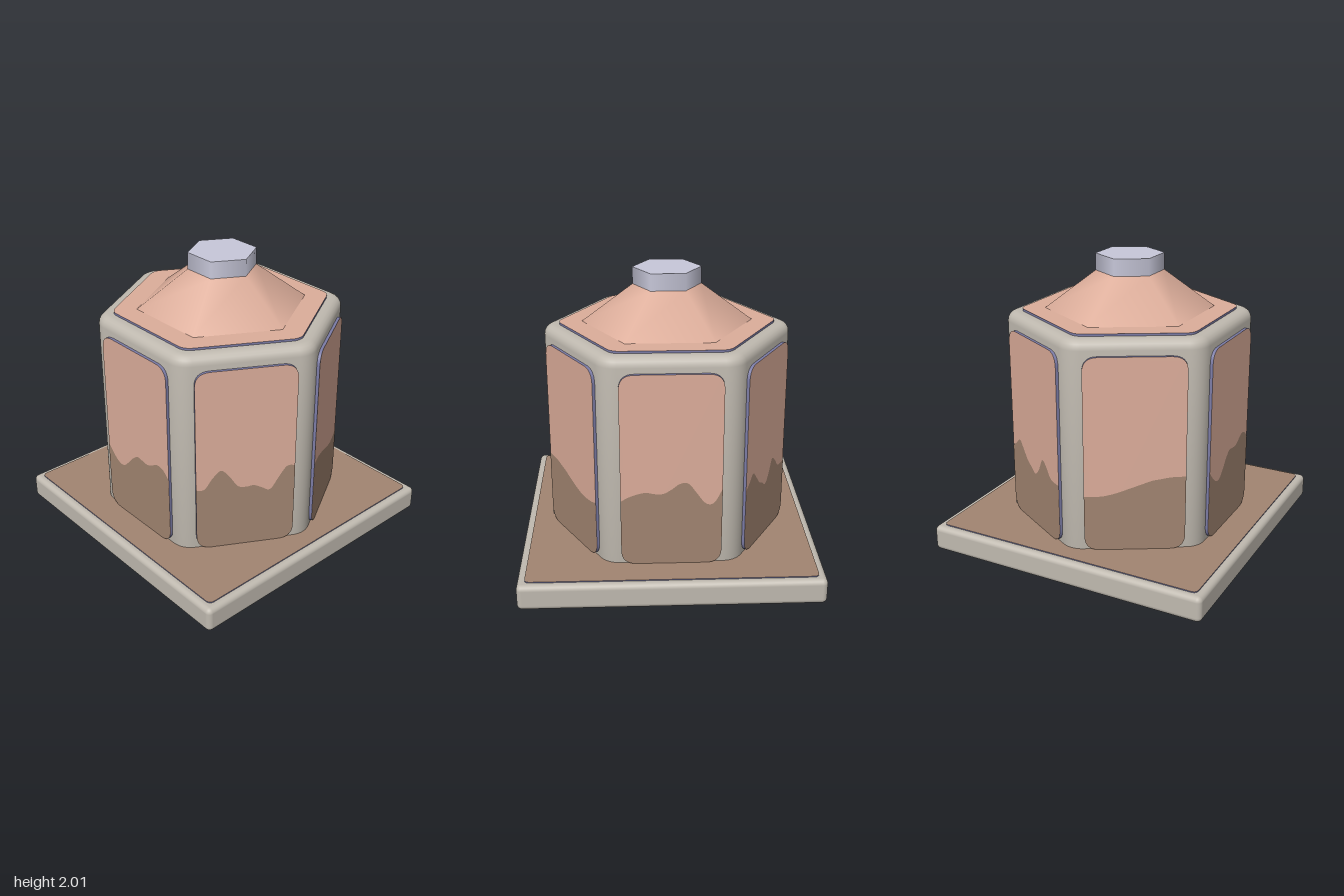
import * as THREE from 'three';
import { toCreasedNormals } from 'three/addons/utils/BufferGeometryUtils.js';
import { RoundedBoxGeometry } from 'three/addons/geometries/RoundedBoxGeometry.js';

// Liquid line of each panel, left to right, starting at the front panel
const WAVES = [
  [.69, .63, .59, .585, .63, .69, .73, .725, .72, .745, .77, .76, .71],
  [.67, .67, .75, .80, .75, .67, .655, .66, .635, .615, .70, .78, .78],
  [.71, .705, .70, .685, .67, .65, .63, .61, .595, .585, .585, .59, .605],
  [.66, .69, .71, .72, .71, .71, .74, .78, .78, .71, .64, .64, .74],
  [.67, .71, .75, .70, .64, .61, .58, .63, .72, .69, .63, .62, .62],
  [.585, .585, .585, .595, .61, .63, .65, .67, .69, .70, .71, .715, .715],
];

const colour = (name, hex) => {
  const m = new THREE.MeshStandardMaterial({ color: hex });
  m.name = name;
  return m;
};

// Polygon outline with rounded corners
function roundedShape(points, r) {
  const shape = new THREE.Shape();
  const n = points.length;
  points.forEach((p, i) => {
    const toPrev = points[(i + n - 1) % n].clone().sub(p).normalize();
    const toNext = points[(i + 1) % n].clone().sub(p).normalize();
    const t = r / Math.tan(Math.acos(toPrev.dot(toNext)) / 2);
    const a = p.clone().addScaledVector(toPrev, t);
    const b = p.clone().addScaledVector(toNext, t);
    if (i === 0) shape.moveTo(a.x, a.y);
    else shape.lineTo(a.x, a.y);
    shape.quadraticCurveTo(p.x, p.y, b.x, b.y);
  });
  shape.closePath();
  return shape;
}

const rect = (x0, y0, x1, y1) =>
  [[x0, y0], [x1, y0], [x1, y1], [x0, y1]].map(([x, y]) => new THREE.Vector2(x, y));

const hexagon = (apothem) => Array.from({ length: 6 }, (_, i) => {
  const a = i * Math.PI / 3, r = apothem / Math.cos(Math.PI / 6);
  return new THREE.Vector2(r * Math.cos(a), r * Math.sin(a));
});

const slab = (shape, depth) => toCreasedNormals(
  new THREE.ExtrudeGeometry(shape, { depth, bevelEnabled: false, curveSegments: 8 }), 0.6);

export function createModel() {
  const model = new THREE.Group();
  const stone = colour('warm grey', 0xc0bab0);
  const peach = colour('peach', 0xddae9b);
  const brown = colour('brown', 0xa28571);
  const trim = colour('slate blue', 0x7c7ca6);
  const metal = colour('pale lavender', 0xc8c8da);

  const add = (name, geometry, material, y = 0, parent = model) => {
    const mesh = new THREE.Mesh(geometry, material);
    mesh.name = name;
    mesh.position.y = y;
    parent.add(mesh);
    return mesh;
  };

  // Square base with inset plates above and below
  add('base', new RoundedBoxGeometry(2, 0.176, 2, 4, 0.035), stone, 0.102);
  const plate = slab(roundedShape(rect(-0.95, -0.95, 0.95, 0.95), 0.04), 0.02);
  plate.rotateX(-Math.PI / 2);
  add('baseTopPlate', plate, [brown, trim], 0.177);
  add('baseBottomPlate', plate, [brown, trim], 0);

  // Hexagonal body with softened edges
  const bevel = 0.065;
  const body = new THREE.ExtrudeGeometry(roundedShape(hexagon(0.735 - bevel), 0.09), {
    depth: 1.62 - 0.08 - 2 * bevel, bevelEnabled: true, bevelSize: bevel,
    bevelThickness: bevel, bevelSegments: 5, curveSegments: 8,
  });
  body.rotateX(-Math.PI / 2);
  add('body', toCreasedNormals(body, 0.6), stone, 0.08 + bevel);

  // Lid plate, sloping shoulder and cap
  const lid = slab(roundedShape(hexagon(0.64), 0.1), 0.025);
  lid.rotateX(-Math.PI / 2);
  add('lidPlate', lid, [peach, trim], 1.61);
  add('shoulder', new THREE.CylinderGeometry(0.23, 0.58, 0.26, 6, 1, true, Math.PI / 2), peach, 1.76);
  add('cap', new THREE.CylinderGeometry(0.23, 0.23, 0.12, 6, 1, false, Math.PI / 2), metal, 1.945);

  // Six side panels, each part filled below a wavy line
  const w = 0.328, bottom = 0.2, top = 1.52, r = 0.1;
  const panel = slab(roundedShape(rect(-w, bottom, w, top), r), 0.03);
  WAVES.forEach((heights, i) => {
    const side = new THREE.Group();
    side.name = 'sidePanel' + (i + 1);
    side.rotation.y = i * Math.PI / 3;
    add('panel', panel, [peach, trim], 0, side).position.z = 0.725;

    const line = heights.map((y, k) =>
      new THREE.Vector2(-w + 2 * w * k / (heights.length - 1), y)).reverse();
    const fill = new THREE.Shape();
    fill.moveTo(-w, bottom + r);
    fill.quadraticCurveTo(-w, bottom, -w + r, bottom);
    fill.lineTo(w - r, bottom);
    fill.quadraticCurveTo(w, bottom, w, bottom + r);
    fill.lineTo(w, line[0].y);
    fill.splineThru(line.slice(1));
    fill.closePath();
    add('panelFill', new THREE.ShapeGeometry(fill, 8), brown, 0, side).position.z = 0.757;
    model.add(side);
  });

  return model;
}
